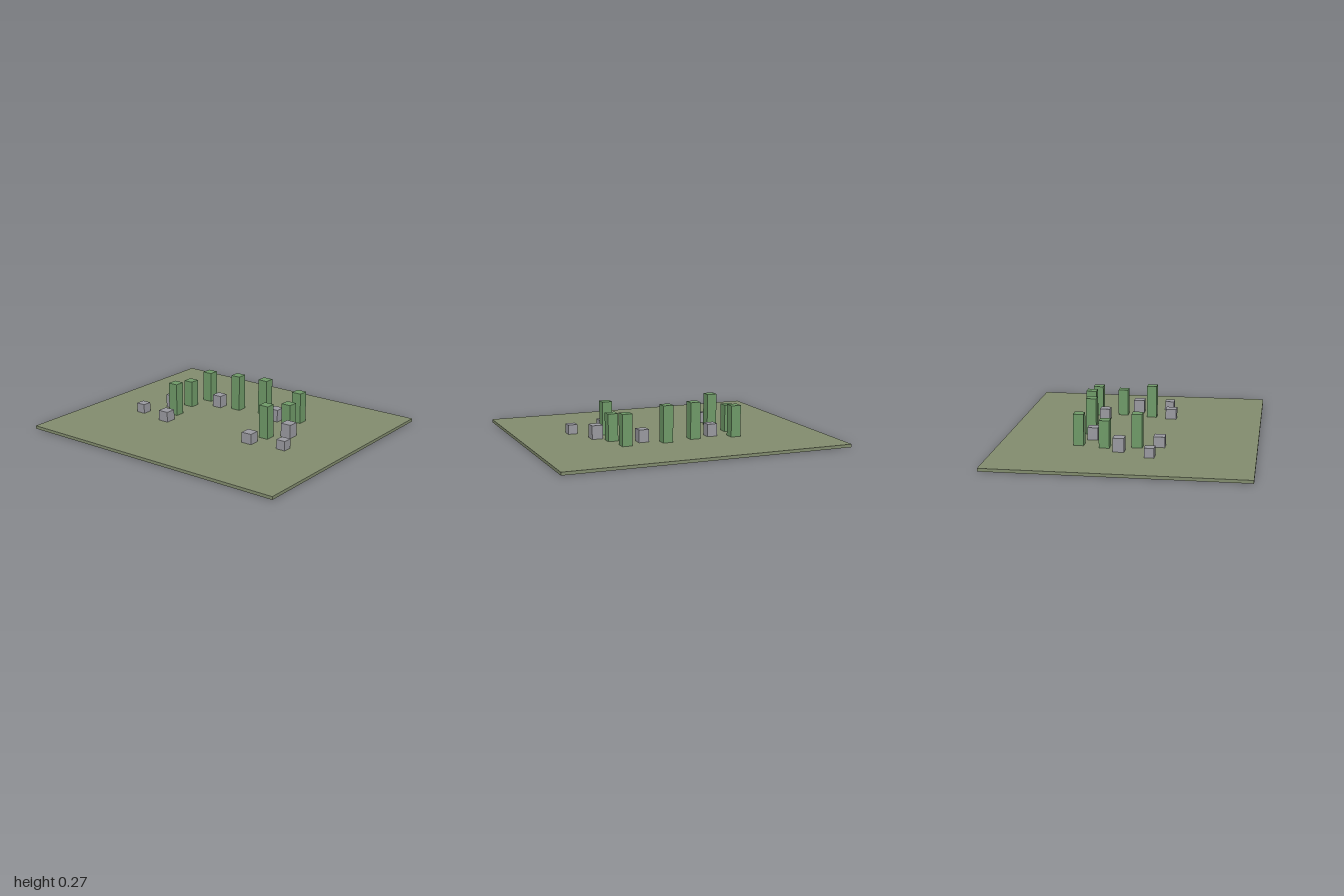
import * as THREE from 'three';

const GROUND = 0.021;

export function createModel() {
  const model = new THREE.Group();
  const mat = (color) => new THREE.MeshStandardMaterial({ color });
  const groundMat = mat(0x828c6e);
  const hedgeMat = mat(0x6f9a68);
  const stoneMat = mat(0x9a9aa0);

  // Box with its base at height y0 and its top at y1
  const block = (name, material, x, z, width, depth, y0, y1) => {
    const mesh = new THREE.Mesh(new THREE.BoxGeometry(width, y1 - y0, depth), material);
    mesh.position.set(x, (y0 + y1) / 2, z);
    mesh.name = name;
    model.add(mesh);
  };

  // Flat ground slab
  block('ground', groundMat, 0, 0, 2, 1.714, 0, GROUND);

  // Tall green pillars: x, z, top
  const pillars = [
    [0.393, 0.067, 0.25],
    [0.428, -0.147, 0.208],
    [0.393, -0.325, 0.236],
  ];
  // Low grey stones: x, z, top, width
  const stones = [
    [0.25, -0.254, 0.107, 0.071],
    [0.503, -0.04, 0.115, 0.076],
    [0.607, 0.174, 0.086, 0.066],
    [0.361, 0.211, 0.093, 0.076],
  ];
  for (const side of [-1, 1]) {
    const label = side > 0 ? 'left' : 'right';
    pillars.forEach(([x, z, top], i) =>
      block(`${label}Pillar${i + 1}`, hedgeMat, side * x, z, 0.07, 0.07, GROUND, top));
    stones.forEach(([x, z, top, w], i) =>
      block(`${label}Stone${i + 1}`, stoneMat, side * x, z, w, w, GROUND, top));
  }

  // Back pair, set at slightly different depths
  block('rightBackPillar', hedgeMat, -0.108, -0.29, 0.071, 0.071, GROUND, 0.272);
  block('leftBackPillar', hedgeMat, 0.105, -0.325, 0.071, 0.071, GROUND, 0.272);

  return model;
}
